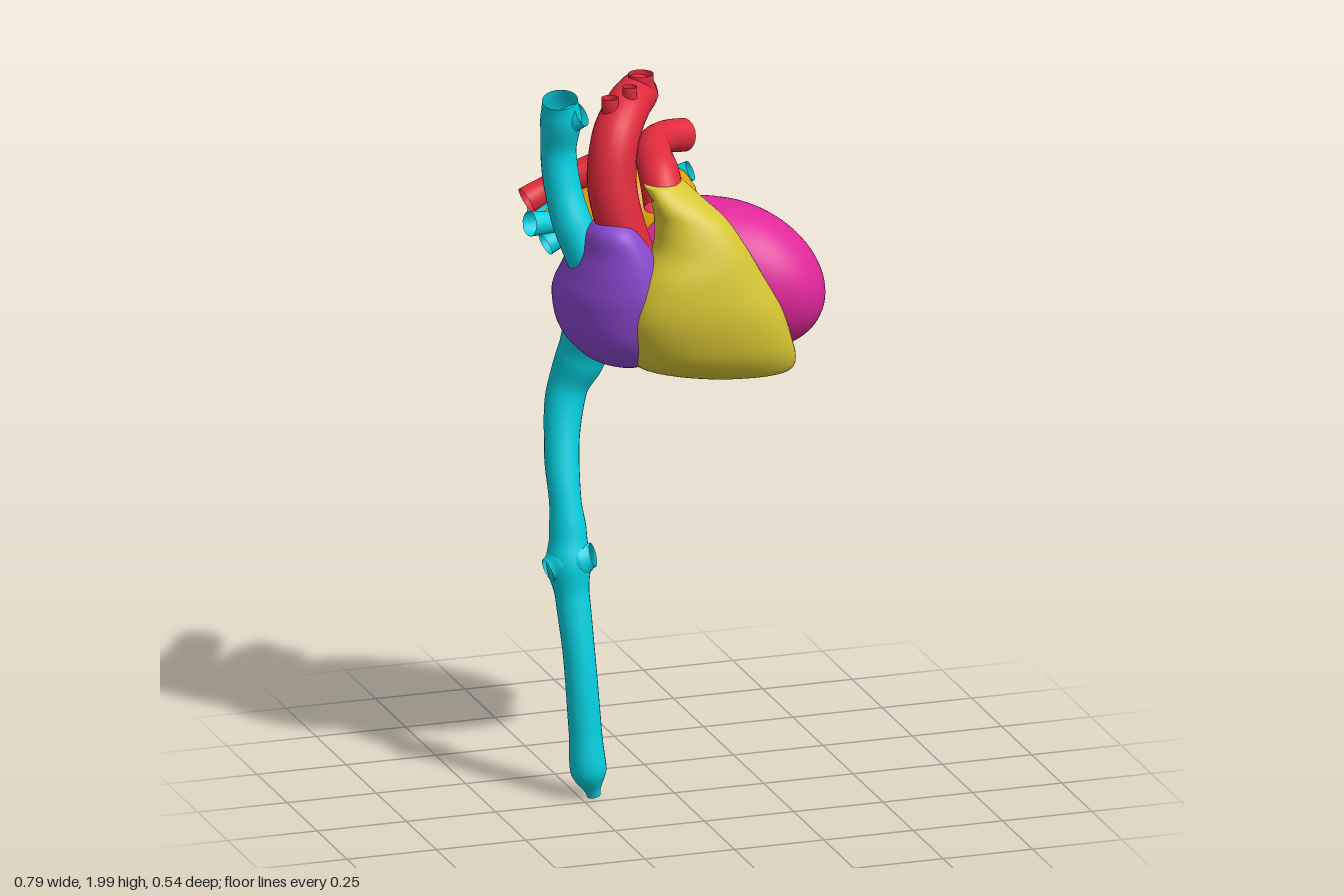
import * as THREE from 'three';

const paint = (name, color) => {
  const m = new THREE.MeshStandardMaterial({ color, side: THREE.DoubleSide });
  m.name = name;
  return m;
};

export function createModel() {
  const group = new THREE.Group();
  const red = paint('artery red', 0xe02a3c);
  const teal = paint('vein teal', 0x04d0e0);
  const magenta = paint('magenta', 0xe0289a);
  const yellow = paint('yellow', 0xd6c634);
  const orange = paint('orange', 0xe2a004);
  const purple = paint('purple', 0x8a48d0);

  const add = (name, geometry, material) => {
    const mesh = new THREE.Mesh(geometry, material);
    mesh.name = name;
    group.add(mesh);
  };

  // Open vessel of varying radius through points [x, y, z, radius]
  function vessel(name, pts, material, sides = 24) {
    const curve = new THREE.CatmullRomCurve3(pts.map(p => new THREE.Vector3(p[0], p[1], p[2])));
    const n = pts.length * 8;
    const geo = new THREE.TubeGeometry(curve, n, 1, sides);
    const pos = geo.attributes.position;
    const v = new THREE.Vector3();
    for (let i = 0; i <= n; i++) {
      const c = curve.getPointAt(i / n);
      const t = curve.getUtoTmapping(i / n) * (pts.length - 1);
      const k = Math.min(Math.floor(t), pts.length - 2);
      const r = THREE.MathUtils.lerp(pts[k][3], pts[k + 1][3], THREE.MathUtils.smoothstep(t - k, 0, 1));
      for (let j = 0; j <= sides; j++) {
        const q = i * (sides + 1) + j;
        v.fromBufferAttribute(pos, q).sub(c).multiplyScalar(r).add(c);
        pos.setXYZ(q, v.x, v.y, v.z);
      }
    }
    // Keep the seam smooth by sharing its vertices
    const index = Array.from(geo.index.array, q => (q % (sides + 1) === sides ? q - sides : q));
    geo.setIndex(index);
    geo.computeVertexNormals();
    add(name, geo, material);
  }

  // Closed chamber from level sections [y, xMin, xMax, zMin, zMax, skew]
  function chamber(name, rows, power, material) {
    const spline = f => new THREE.CatmullRomCurve3(rows.map(f), false, 'catmullrom', 0.5);
    const a = spline(r => new THREE.Vector3(r[0], r[1], r[2]));
    const b = spline(r => new THREE.Vector3(r[3], r[4], r[5]));
    const n = rows.length * 6, sides = 48, pos = [], idx = [];
    const soft = s => Math.sign(s) * Math.abs(s) ** power;
    for (let i = -1; i <= n + 1; i++) {
      const t = THREE.MathUtils.clamp(i / n, 0, 1);
      const size = i < 0 || i > n ? 0.001 : 1;
      const p = a.getPoint(t), q = b.getPoint(t);
      for (let j = 0; j < sides; j++) {
        const w = (j / sides) * Math.PI * 2;
        const dx = soft(Math.cos(w)) * (p.z - p.y) / 2 * size;
        const dz = soft(Math.sin(w)) * (q.y - q.x) / 2 * size;
        pos.push((p.y + p.z) / 2 + dx, p.x, (q.x + q.y) / 2 + dz + q.z * dx);
      }
    }
    for (let i = 0; i < n + 2; i++) {
      for (let j = 0; j < sides; j++) {
        const k = (j + 1) % sides, lo = i * sides, hi = lo + sides;
        idx.push(lo + j, hi + j, lo + k, hi + j, hi + k, lo + k);
      }
    }
    const geo = new THREE.BufferGeometry();
    geo.setAttribute('position', new THREE.Float32BufferAttribute(pos, 3));
    geo.setIndex(idx);
    geo.computeVertexNormals();
    add(name, geo, material);
  }

  // Left ventricle: a tilted egg, longer on its inner side
  const egg = new THREE.SphereGeometry(1, 64, 40);
  const eggPos = egg.attributes.position;
  for (let i = 0; i < eggPos.count; i++) {
    if (eggPos.getX(i) < 0) eggPos.setX(i, eggPos.getX(i) * 1.38);
  }
  egg.computeVertexNormals();
  egg.applyMatrix4(new THREE.Matrix4().set(
    0.23, 0, 0, 0.168,
    -0.042, 0.202, 0, 1.437,
    0.066, 0.004, 0.206, -0.02,
    0, 0, 0, 1));
  add('leftVentricle', egg, magenta);

  chamber('rightVentricle', [
    [1.198, 0.12, 0.23, 0.07, 0.12, 0.1],
    [1.207, 0, 0.28, 0.02, 0.18, 0.1],
    [1.24, -0.13, 0.292, 0, 0.215, 0.1],
    [1.3, -0.165, 0.275, 0.02, 0.248, 0.07],
    [1.4, -0.18, 0.24, 0.04, 0.268, 0.04],
    [1.5, -0.15, 0.185, 0.04, 0.262, 0.03],
    [1.58, -0.1, 0.14, 0.05, 0.24, 0.1],
    [1.65, -0.093, 0.095, 0.055, 0.21, 0.1],
    [1.7, -0.102, 0.045, 0.05, 0.18, -0.1],
    [1.75, -0.117, -0.005, 0.035, 0.135, -0.3],
  ], 0.88, yellow);

  chamber('rightAtrium', [
    [1.235, -0.18, -0.11, -0.02, 0.08, 0],
    [1.26, -0.25, -0.05, -0.11, 0.13, 0.1],
    [1.33, -0.308, -0.03, -0.15, 0.175, 0.2],
    [1.43, -0.328, -0.04, -0.14, 0.195, 0.28],
    [1.5, -0.31, -0.07, -0.11, 0.195, 0.3],
    [1.57, -0.285, -0.1, -0.07, 0.185, 0.3],
    [1.63, -0.265, -0.14, 0, 0.165, 0.2],
    [1.665, -0.225, -0.16, 0.05, 0.12, 0],
  ], 0.95, purple);

  // Left atrium with a funnel towards the right veins and an auricle in front
  chamber('leftAtrium', [
    [1.42, -0.16, -0.05, -0.15, -0.06, 0],
    [1.47, -0.23, 0, -0.2, -0.02, 0],
    [1.55, -0.275, 0.02, -0.228, -0.01, 0.05],
    [1.63, -0.275, 0.03, -0.23, -0.01, 0.05],
    [1.69, -0.2, 0.035, -0.21, -0.04, 0.05],
    [1.72, -0.1, 0.005, -0.17, -0.09, 0],
  ], 0.82, orange);
  vessel('atriumFunnel', [
    [-0.16, 1.57, -0.14, 0.08], [-0.24, 1.575, -0.175, 0.058], [-0.305, 1.57, -0.205, 0.034],
  ], orange);
  vessel('leftAuricle', [
    [-0.03, 1.64, -0.16, 0.06], [0.015, 1.675, -0.09, 0.052],
    [0.025, 1.675, -0.02, 0.042], [0.02, 1.665, 0.03, 0.022], [0.018, 1.66, 0.045, 0.001],
  ], orange);

  // Aorta and its three arch stubs
  vessel('aorta', [
    [-0.1, 1.45, 0.07, 0.06], [-0.165, 1.6, 0.08, 0.064], [-0.195, 1.75, 0.06, 0.066],
    [-0.175, 1.865, 0.03, 0.064], [-0.12, 1.925, -0.035, 0.06], [-0.065, 1.93, -0.12, 0.056],
    [-0.045, 1.9, -0.2, 0.053], [-0.042, 1.872, -0.245, 0.048],
  ], red);
  for (const [x, y, z, r] of [[-0.185, 1.975, 0.015, 0.023], [-0.125, 1.995, 0, 0.019], [-0.065, 1.998, -0.085, 0.034]]) {
    vessel('archBranch', [[x + 0.01, y - 0.07, z - 0.01, r * 1.2], [x, y - 0.02, z, r], [x, y, z, r]], red, 16);
  }

  // Pulmonary trunk with left and right arteries
  vessel('pulmonaryTrunk', [
    [-0.065, 1.69, 0.11, 0.055], [-0.06, 1.755, 0.055, 0.055], [-0.05, 1.785, -0.02, 0.05],
    [-0.025, 1.795, -0.09, 0.046], [0.025, 1.793, -0.145, 0.044], [0.085, 1.782, -0.176, 0.045],
  ], red);
  vessel('rightPulmonaryArtery', [
    [-0.03, 1.785, -0.08, 0.035], [-0.12, 1.77, -0.08, 0.043], [-0.23, 1.73, -0.1, 0.04],
    [-0.32, 1.69, -0.122, 0.034], [-0.375, 1.665, -0.118, 0.037],
  ], red);

  // Superior vena cava with side openings
  vessel('superiorVenaCava', [
    [-0.24, 1.52, 0.03, 0.06], [-0.285, 1.62, 0.015, 0.053], [-0.308, 1.73, -0.015, 0.049],
    [-0.315, 1.83, -0.028, 0.048], [-0.314, 1.92, -0.01, 0.055], [-0.322, 1.98, 0.005, 0.048],
  ], teal);
  vessel('venaCavaBranch', [
    [-0.315, 1.9, -0.01, 0.038], [-0.29, 1.925, 0.01, 0.036], [-0.268, 1.94, 0.025, 0.034],
  ], teal, 16);
  vessel('azygosBranch', [
    [-0.31, 1.81, -0.03, 0.034], [-0.305, 1.835, -0.065, 0.03], [-0.305, 1.855, -0.095, 0.03],
  ], teal, 16);

  // Inferior vena cava, swelling at the liver veins and tapering to a tip
  vessel('inferiorVenaCava', [
    [-0.213, 0.01, -0.036, 0.018], [-0.23, 0.09, -0.032, 0.049], [-0.238, 0.2, -0.035, 0.044],
    [-0.25, 0.4, -0.048, 0.043], [-0.26, 0.56, -0.075, 0.046], [-0.266, 0.65, -0.09, 0.06],
    [-0.264, 0.73, -0.1, 0.05], [-0.268, 0.82, -0.112, 0.043], [-0.265, 0.95, -0.15, 0.047],
    [-0.24, 1.1, -0.183, 0.054], [-0.205, 1.2, -0.165, 0.067], [-0.185, 1.28, -0.14, 0.076],
    [-0.18, 1.36, -0.1, 0.07],
  ], teal);
  for (const [x, y, z] of [[-0.207, 0.675, -0.06], [-0.325, 0.635, -0.085]]) {
    vessel('liverVein', [[-0.265, 0.655, -0.09, 0.055], [(x - 0.265) / 2, (y + 0.655) / 2, (z - 0.09) / 2, 0.05], [x, y, z, 0.033]], teal, 16);
  }

  // Pulmonary veins: root, tip and tip radius
  const veins = [
    [[-0.04, 1.62, -0.18], [0.06, 1.605, -0.24], 0.026],
    [[-0.03, 1.66, -0.17], [0.035, 1.705, -0.2], 0.034],
    [[0, 1.67, -0.13], [0.075, 1.71, -0.09], 0.028],
    [[-0.22, 1.6, -0.18], [-0.33, 1.58, -0.228], 0.03],
    [[-0.22, 1.57, -0.15], [-0.315, 1.53, -0.135], 0.03],
    [[-0.22, 1.6, -0.1], [-0.385, 1.62, -0.06], 0.034],
  ];
  for (const [a, b, r] of veins) {
    const mid = a.map((c, i) => (c + b[i]) / 2);
    vessel('pulmonaryVein', [[...a, 0.042], [...mid, 0.028], [...b, r]], teal, 16);
  }

  return group;
}
